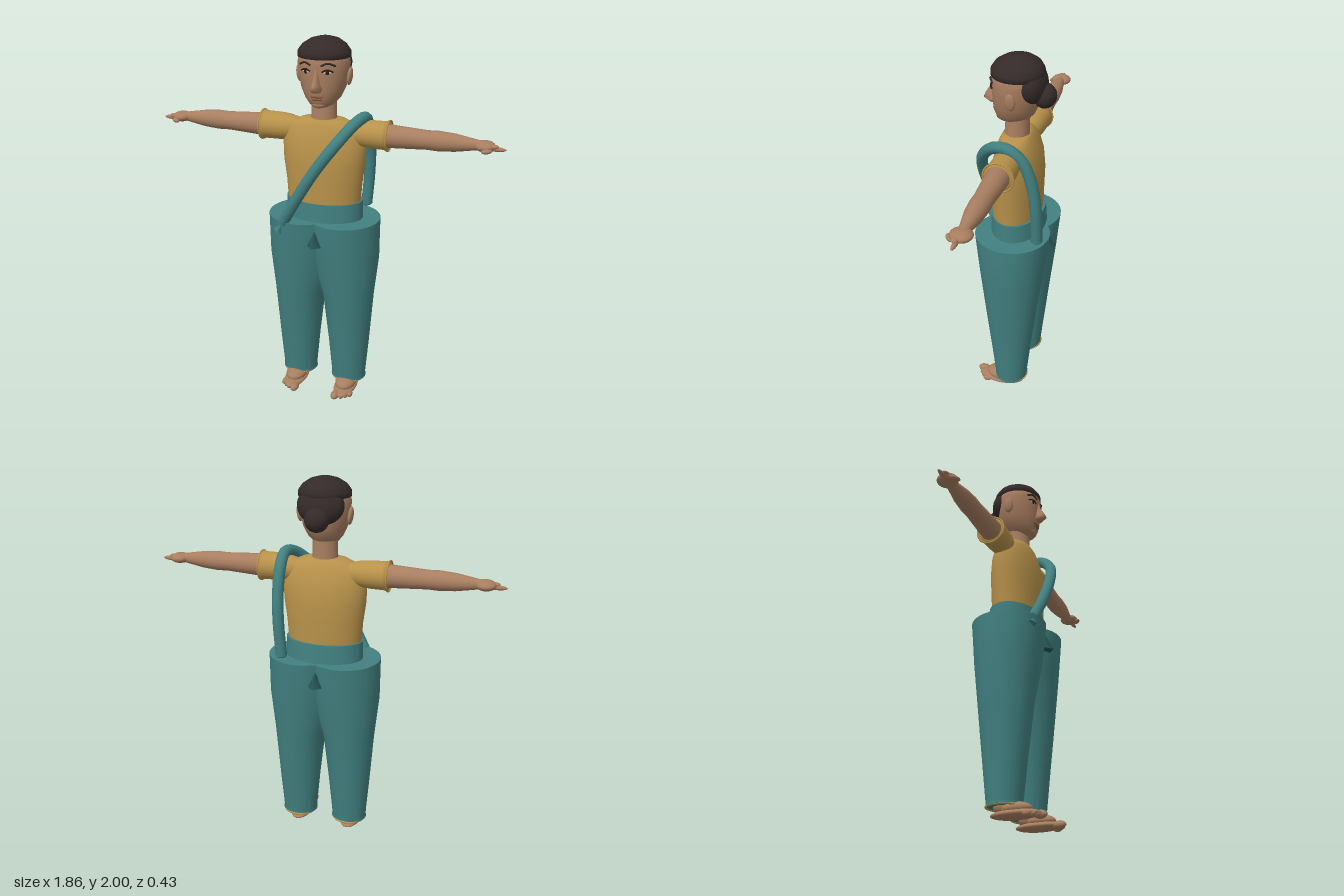
import * as THREE from 'three';

const mat = (name, color) => {
  const m = new THREE.MeshStandardMaterial({ color, side: THREE.DoubleSide });
  m.name = name;
  return m;
};

// Smooth skin over elliptical rings; each ring is [y, centreX, radiusX, centreZ, radiusZ].
function loft(rings, n = 40) {
  const pos = [], idx = [];
  rings.forEach(([y, cx, rx, cz, rz], r) => {
    for (let i = 0; i < n; i++) {
      const a = (i / n) * Math.PI * 2;
      pos.push(cx + Math.cos(a) * rx, y, cz + Math.sin(a) * rz);
      if (r === rings.length - 1) continue;
      const p = r * n + i, q = r * n + ((i + 1) % n);
      idx.push(p, p + n, q, q, p + n, q + n);
    }
  });
  const g = new THREE.BufferGeometry();
  g.setAttribute('position', new THREE.Float32BufferAttribute(pos, 3));
  g.setIndex(idx);
  g.computeVertexNormals();
  return g;
}

// Closes both ends with flat, sharp-edged caps.
function capped(rings) {
  const flat = ([y, cx, , cz]) => [y, cx, 0.0005, cz, 0.0005];
  const a = rings[0], b = rings[rings.length - 1];
  return loft([flat(a), a, a, ...rings.slice(1, -1), b, b, flat(b)]);
}

// Round profile of [distance, radius] pairs turned along the x axis.
function alongX(points, side) {
  const g = new THREE.LatheGeometry(points.map(([d, r]) => new THREE.Vector2(r, d)), 28);
  return g.rotateZ(-Math.PI / 2 * side);
}

export function createModel() {
  const model = new THREE.Group();
  model.name = 'standingFigure';
  const skin = mat('skin', 0xa87e60), shirt = mat('mustard cloth', 0xb8924a);
  const cloth = mat('teal cloth', 0x428080), hair = mat('dark hair', 0x352a2a);
  const dark = mat('dark teal', 0x285656), lipMat = mat('lips', 0x85563f);
  const white = mat('eye white', 0xc9b8a4), iris = mat('eye brown', 0x2c1b14);

  const add = (name, geo, material, x = 0, y = 0, z = 0) => {
    const m = new THREE.Mesh(geo, material);
    m.name = name;
    m.position.set(x, y, z);
    model.add(m);
    return m;
  };
  const ball = (name, material, x, y, z, rx, ry, rz) =>
    add(name, new THREE.SphereGeometry(1, 28, 18).scale(rx, ry, rz), material, x, y, z);
  const tube = (name, pts, r, material, seg = 24) => {
    const curve = new THREE.CatmullRomCurve3(pts.map(p => new THREE.Vector3(...p)));
    return add(name, new THREE.TubeGeometry(curve, seg, r, 12), material);
  };

  // Shirt, waistband and neck
  add('shirt', loft([
    [1.12, 0, 0.198, -0.005, 0.125], [1.25, 0, 0.207, -0.006, 0.128], [1.36, 0, 0.222, -0.006, 0.13],
    [1.45, 0, 0.225, -0.006, 0.12], [1.52, 0, 0.21, -0.004, 0.1], [1.56, 0, 0.172, 0, 0.084],
    [1.583, 0, 0.12, 0, 0.072], [1.59, 0, 0.07, 0, 0.06], [1.59, 0, 0.001, 0, 0.001],
  ]), shirt);
  add('waistband', capped([[1.0, 0, 0.212, -0.012, 0.145], [1.15, 0, 0.209, -0.01, 0.135]]), cloth);
  add('neck', loft([
    [1.56, 0, 0.075, 0, 0.068], [1.6, 0, 0.066, 0, 0.062], [1.72, 0, 0.064, -0.005, 0.06],
  ]), skin);

  // Head and face
  add('head', loft([
    [1.652, 0, 0.001, 0.035, 0.001], [1.655, 0, 0.035, 0.035, 0.045], [1.67, 0, 0.064, 0.025, 0.076],
    [1.7, 0, 0.09, 0.012, 0.1], [1.75, 0, 0.114, 0.005, 0.115], [1.81, 0, 0.128, 0, 0.122],
    [1.87, 0, 0.134, 0, 0.126], [1.92, 0, 0.128, 0, 0.122], [1.97, 0, 0.08, 0, 0.08],
  ]), skin);
  add('nose', loft([
    [1.738, 0, 0.001, 0.12, 0.001], [1.744, 0, 0.024, 0.12, 0.025], [1.76, 0, 0.03, 0.118, 0.054],
    [1.78, 0, 0.021, 0.116, 0.048], [1.82, 0, 0.014, 0.11, 0.03], [1.86, 0, 0.01, 0.11, 0.015],
  ], 20), skin);
  ball('upperLip', lipMat, 0, 1.718, 0.108, 0.036, 0.007, 0.012);
  ball('lowerLip', lipMat, 0, 1.704, 0.105, 0.03, 0.008, 0.012);
  ball('chin', skin, 0, 1.675, 0.085, 0.035, 0.02, 0.02);
  for (const s of [1, -1]) {
    ball('ear', skin, s * 0.134, 1.808, -0.005, 0.014, 0.046, 0.027).rotation.z = -s * 0.12;
    ball('eyeWhite', white, s * 0.055, 1.843, 0.109, 0.024, 0.011, 0.008).rotation.y = s * 0.35;
    ball('iris', iris, s * 0.055, 1.843, 0.114, 0.011, 0.011, 0.006);
    tube('eyelid', [[s * 0.03, 1.845, 0.122], [s * 0.055, 1.856, 0.116], [s * 0.083, 1.845, 0.101]], 0.004, iris, 10);
    tube('eyebrow', [[s * 0.026, 1.875, 0.125], [s * 0.058, 1.888, 0.117], [s * 0.093, 1.874, 0.093]], 0.005, hair, 10);
  }

  // Hair cap, back of the hair and bun
  add('hairCap', loft([
    [1.9, 0, 0.12, -0.004, 0.118], [1.903, 0, 0.135, -0.004, 0.132], [1.93, 0, 0.134, -0.004, 0.131],
    [1.96, 0, 0.112, -0.006, 0.113], [1.985, 0, 0.073, -0.01, 0.077], [1.997, 0, 0.03, -0.01, 0.034],
    [2.0, 0, 0.001, -0.01, 0.001],
  ]), hair);
  ball('backHair', hair, 0, 1.865, -0.075, 0.122, 0.1, 0.073).rotation.x = 0.25;
  ball('bun', hair, 0, 1.805, -0.138, 0.062, 0.062, 0.06);

  // Trouser legs, cuffs and feet
  for (const s of [1, -1]) {
    add('trouserLeg', capped([
      [0.07, s * 0.147, 0.099, -0.01, 0.091], [0.09, s * 0.147, 0.096, -0.01, 0.09],
      [0.3, s * 0.146, 0.114, -0.01, 0.112], [0.6, s * 0.14, 0.141, -0.009, 0.146],
      [0.83, s * 0.116, 0.189, -0.009, 0.175], [0.96, s * 0.11, 0.195, -0.008, 0.189],
      [1.05, s * 0.11, 0.195, -0.008, 0.198],
    ]), cloth);
    const cuff = add('cuffTrim', new THREE.TorusGeometry(0.09, 0.006, 8, 36), shirt, s * 0.147, 0.07, -0.01);
    cuff.rotation.x = Math.PI / 2;
    ball('ankle', skin, s * 0.148, 0.07, -0.01, 0.05, 0.045, 0.055);
    ball('sole', skin, s * 0.15, 0.029, 0.05, 0.062, 0.024, 0.132);
    ball('instep', skin, s * 0.15, 0.055, 0.05, 0.058, 0.035, 0.085);
    ball('bigToe', skin, s * 0.122, 0.026, 0.165, 0.023, 0.021, 0.036);
    for (let i = 0; i < 3; i++)
      ball('smallToe', skin, s * (0.156 + i * 0.021), 0.023, 0.158 - i * 0.016, 0.014, 0.016, 0.024);
  }

  // Pointed gussets at front and back
  for (const s of [1, -1])
    add('gusset', new THREE.ConeGeometry(0.045, 0.085, 4), dark, 0, 0.967, s * 0.165 - 0.008);

  // Sleeves, arms and hands
  for (const s of [1, -1]) {
    add('sleeve', alongX([
      [0.12, 0.05], [0.165, 0.06], [0.2, 0.068], [0.25, 0.072], [0.32, 0.073], [0.343, 0.079], [0.343, 0.052],
    ], s), shirt, 0, 1.517, -0.012);
    const rim = add('sleeveTrim', new THREE.TorusGeometry(0.077, 0.005, 8, 32), shirt, s * 0.343, 1.517, -0.012);
    rim.rotation.y = Math.PI / 2;
    add('arm', alongX([
      [0.2, 0.055], [0.34, 0.06], [0.45, 0.054], [0.54, 0.049], [0.6, 0.051], [0.68, 0.045],
      [0.75, 0.033], [0.79, 0.026], [0.83, 0.024],
    ], s), skin, 0, 1.517, -0.01);
    ball('palm', skin, s * 0.825, 1.515, -0.01, 0.052, 0.027, 0.054);
    ball('fingers', skin, s * 0.88, 1.506, -0.004, 0.05, 0.012, 0.012);
    ball('thumb', skin, s * 0.842, 1.502, 0.037, 0.03, 0.012, 0.016).rotation.y = s * 0.7;
    ball('smallFinger', skin, s * 0.86, 1.519, 0.002, 0.034, 0.012, 0.02);
  }

  // Shoulder strap running from the right hip over the left shoulder
  tube('strap', [
    [-0.175, 1.04, 0.16], [-0.1, 1.17, 0.182], [0.01, 1.35, 0.182], [0.11, 1.49, 0.145],
    [0.185, 1.585, 0.06], [0.212, 1.6, -0.02], [0.212, 1.54, -0.095], [0.21, 1.4, -0.145],
    [0.203, 1.25, -0.162], [0.19, 1.08, -0.163],
  ], 0.03, cloth, 48);
  const tip = add('strapTip', new THREE.ConeGeometry(0.026, 0.06, 4), cloth, -0.188, 1.015, 0.165);
  tip.rotation.z = -0.5;
  ball('strapEnd', cloth, 0.19, 1.08, -0.163, 0.029, 0.012, 0.029);
  return model;
}
